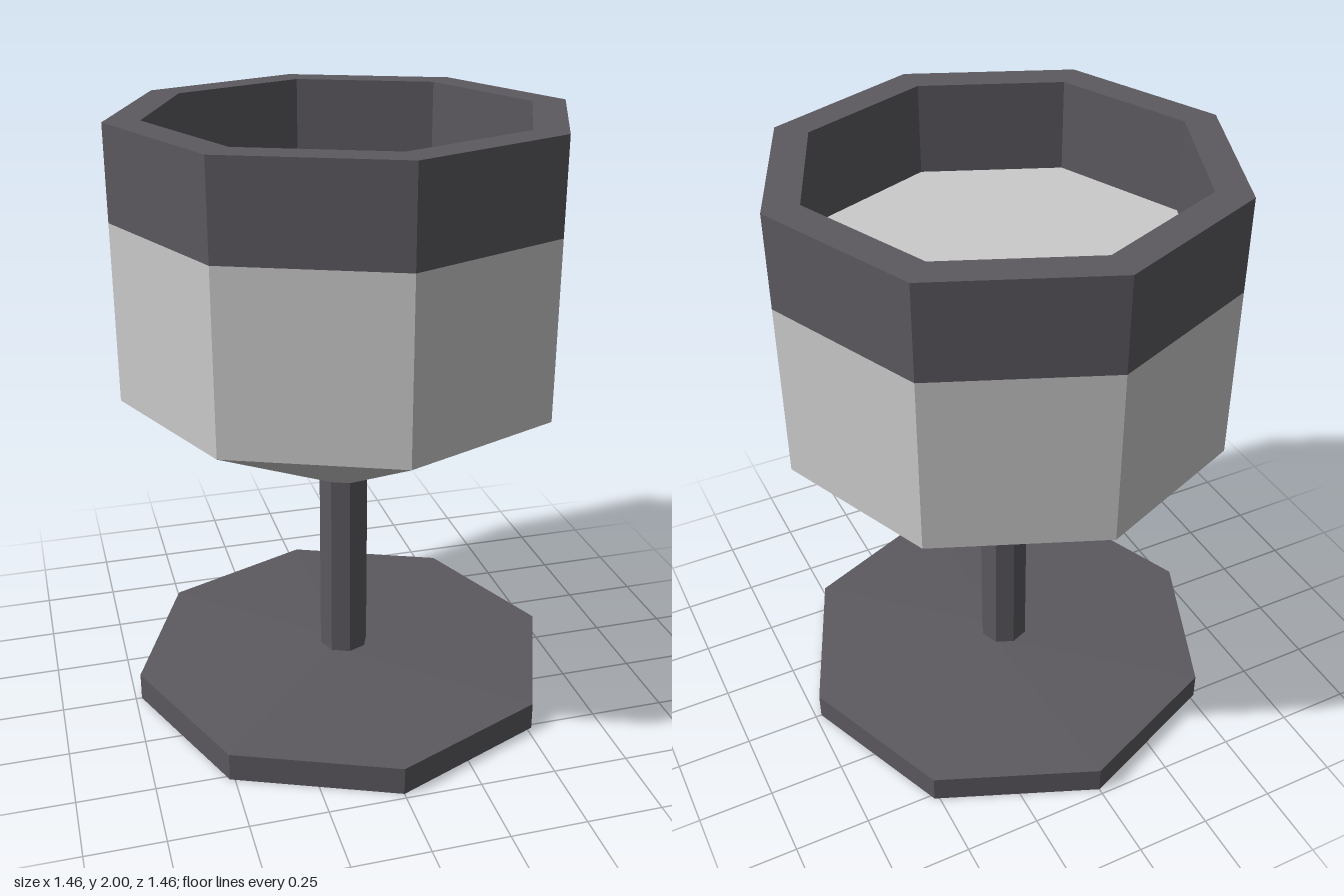
import * as THREE from 'three';

const SIDES = 8;
const R = 0.73;       // foot and bowl radius
const INNER = 0.617;  // mouth radius
const STEM = 0.084;

// Eight-sided faceted solid; profile runs from the bottom outward and up
function turned(name, profile, material) {
  const points = profile.map(([r, y]) => new THREE.Vector2(r, y));
  const geometry = new THREE.LatheGeometry(points, SIDES).toNonIndexed();
  geometry.computeVertexNormals();
  const mesh = new THREE.Mesh(geometry, material);
  mesh.name = name;
  return mesh;
}

export function createModel() {
  const dark = new THREE.MeshStandardMaterial({ color: 0x5c595f });
  dark.name = 'dark metal';
  const light = new THREE.MeshStandardMaterial({ color: 0xcacaca });
  light.name = 'light metal';

  const goblet = new THREE.Group();
  goblet.name = 'goblet';
  goblet.add(
    // Flat base with a slightly raised centre
    turned('foot', [[0, 0], [R, 0], [R, 0.095], [STEM, 0.12]], dark),
    turned('stem', [[STEM, 0.12], [STEM, 0.78]], dark),
    // Conical underside and straight wall
    turned('bowl', [[STEM, 0.78], [R, 1.125], [R, 1.7]], light),
    // Thick rim band, including its inner wall
    turned('rim', [[R, 1.7], [R, 2], [INNER, 2], [INNER, 1.7]], dark),
    // Flat surface inside the mouth
    turned('fill', [[INNER, 1.7], [0, 1.7]], light),
  );
  return goblet;
}
